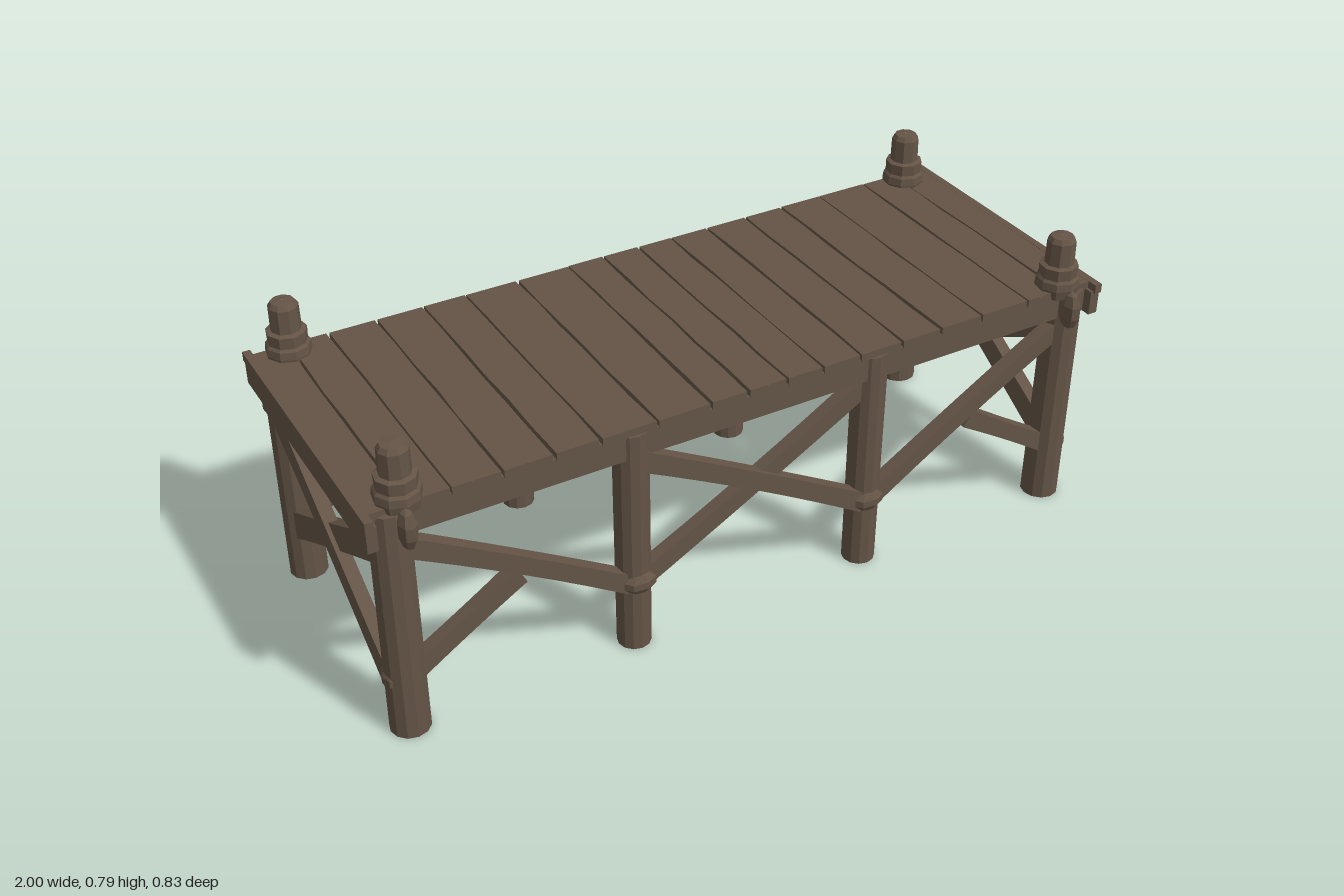
import * as THREE from 'three';

const wood = new THREE.MeshStandardMaterial({ color: 0x645446, flatShading: true });
wood.name = 'weathered wood';

export function createModel() {
  const group = new THREE.Group();
  group.name = 'woodenPier';
  let seed = 7;
  const rand = () => ((seed = (seed * 16807) % 2147483647) / 2147483647) - 0.5;

  const add = (name, geometry, x = 0, y = 0, z = 0) => {
    const mesh = new THREE.Mesh(geometry, wood);
    mesh.name = name;
    mesh.position.set(x, y, z);
    group.add(mesh);
    return mesh;
  };
  // Box given by its extents
  const box = (name, x0, x1, y0, y1, z0, z1) =>
    add(name, new THREE.BoxGeometry(x1 - x0, y1 - y0, z1 - z0), (x0 + x1) / 2, (y0 + y1) / 2, (z0 + z1) / 2);

  // Slightly bowed timber between two points: w is its height, d its thickness
  const brace = (name, a, b, w, d, bow = 0) => {
    const p = new THREE.Vector3(...a), q = new THREE.Vector3(...b);
    const dir = q.clone().sub(p), len = dir.length();
    dir.normalize();
    const geo = new THREE.BoxGeometry(len, w, d, 8, 1, 1);
    const pos = geo.attributes.position;
    for (let i = 0; i < pos.count; i++) {
      const t = (pos.getX(i) / len) * 2;
      pos.setY(i, pos.getY(i) * (1 + 0.12 * t * t) + bow * (1 - t * t));
    }
    geo.computeVertexNormals();
    const mesh = add(name, geo, ...p.clone().add(q).multiplyScalar(0.5).toArray());
    const side = new THREE.Vector3().crossVectors(dir, new THREE.Vector3(0, 1, 0)).normalize();
    const up = new THREE.Vector3().crossVectors(side, dir);
    mesh.quaternion.setFromRotationMatrix(new THREE.Matrix4().makeBasis(dir, up, side));
  };

  // Chunky rounded peg or brace end
  const knob = (name, x, y, z, sx, sy, sz) => {
    const mesh = add(name, new THREE.SphereGeometry(0.5, 7, 5), x, y, z);
    mesh.scale.set(sx, sy, sz);
  };

  // Deck planks with narrow, uneven gaps
  const cuts = [-0.997, -0.895, -0.79, -0.665, -0.54, -0.425, -0.28, -0.135, -0.035,
    0.07, 0.17, 0.28, 0.4, 0.515, 0.64, 0.785, 0.89, 0.997];
  for (let i = 0; i < cuts.length - 1; i++) {
    const w = cuts[i + 1] - cuts[i] - 0.007;
    const geo = new THREE.BoxGeometry(w, 0.022, 0.73, 1, 1, 6);
    const pos = geo.attributes.position;
    const wobble = Array.from({ length: 14 }, () => rand() * 0.005);
    for (let k = 0; k < pos.count; k++) {
      const row = Math.round((pos.getZ(k) / 0.73 + 0.5) * 6);
      pos.setX(k, pos.getX(k) + wobble[row + (pos.getX(k) > 0 ? 7 : 0)]);
    }
    geo.computeVertexNormals();
    add('plank', geo, (cuts[i] + cuts[i + 1]) / 2, 0.639 + rand() * 0.002, -0.003);
  }
  // Backing under the tighter planks
  box('deckUnderside', -0.87, 0.5, 0.615, 0.628, -0.35, 0.35);

  // Turned cap on each corner
  const capProfile = [[0.001, 0.63], [0.052, 0.63], [0.057, 0.655], [0.055, 0.675], [0.049, 0.682],
    [0.05, 0.712], [0.038, 0.716], [0.037, 0.778], [0.029, 0.79], [0.001, 0.793]]
    .map(([r, y]) => new THREE.Vector2(r, y));

  for (const s of [1, -1]) {
    // Long side beam
    box('sideBeam', -0.98, 0.98, 0.565, 0.632, s * 0.338 - 0.022, s * 0.338 + 0.022);

    for (const m of [1, -1]) {
      // Posts
      add('cornerPost', new THREE.CylinderGeometry(0.048, 0.05, 0.635, 12), m * 0.928, 0.3175, s * 0.333);
      add('middlePost', new THREE.CylinderGeometry(0.044, 0.043, 0.63, 12), m * 0.332, 0.315, s * 0.328);
      add('postCap', new THREE.LatheGeometry(capProfile, 9), m * 0.9, 0, s * 0.335 - 0.004);

      // Outer bay: one long brace and one short strut meeting it
      const z = s * 0.34;
      brace('longBrace', [m * 0.92, 0.535, z], [m * 0.32, 0.175, z], 0.046, 0.036, 0.006);
      brace('shortStrut', [m * 0.92, 0.16, z], [m * 0.635, 0.34, z], 0.046, 0.036);
      // Middle bay cross brace
      brace('crossBrace', [-m * 0.33, 0.185, z - m * 0.006], [m * 0.33, 0.555, z - m * 0.006], 0.048, 0.034, -m * s * 0.006);

      // Pegs and brace ends standing proud of the posts
      knob('cornerPeg', m * 0.905, 0.6, s * 0.385, 0.045, 0.11, 0.07);
      knob('postPeg', m * 0.33, 0.2, s * 0.36, 0.09, 0.06, 0.05);
      if (s < 0) {
        knob('lowerPeg', m * 0.915, 0.155, -0.38, 0.06, 0.055, 0.07);
        knob('upperPeg', m * 0.915, 0.52, -0.385, 0.06, 0.06, 0.07);
        box('postBlock', m * 0.32 - 0.04, m * 0.32 + 0.04, 0.55, 0.63, -0.388, -0.34);
      }
    }
  }

  for (const m of [1, -1]) {
    // End beams: an inner one between posts and a thin outer board
    box('endBeam', m * 0.94 - 0.03, m * 0.94 + 0.03, 0.562, 0.63, -0.33, 0.33);
    box('endBoard', m * 0.985 - 0.013, m * 0.985 + 0.013, 0.565, 0.63, -0.385, 0.385);
    box('endLip', m * 0.99 - 0.01, m * 0.99 + 0.01, 0.626, 0.65, -0.39, 0.39);

    // End cross braces with ends lapped over the posts
    brace('endBrace', [m * 0.953, 0.14, 0.33], [m * 0.953, 0.525, -0.33], 0.066, 0.034);
    brace('endBrace', [m * 0.942, 0.525, 0.33], [m * 0.942, 0.155, -0.33], 0.066, 0.034);
    knob('endBracePeg', m * 0.962, 0.16, 0.33, 0.045, 0.06, 0.075);
    knob('endBracePeg', m * 0.962, 0.52, -0.34, 0.045, 0.07, 0.08);

    // Curved knees under the end beam
    for (const s of [1, -1]) {
      const knee = new THREE.Shape();
      knee.moveTo(s * 0.3, 0.57);
      knee.lineTo(s * 0.23, 0.57);
      knee.quadraticCurveTo(s * 0.285, 0.56, s * 0.3, 0.5);
      const geo = new THREE.ExtrudeGeometry(knee, { depth: 0.04, bevelEnabled: false, curveSegments: 5 });
      geo.rotateY(-Math.PI / 2);
      add('knee', geo, m * 0.94 + 0.02, 0, 0);
    }
  }
  return group;
}
